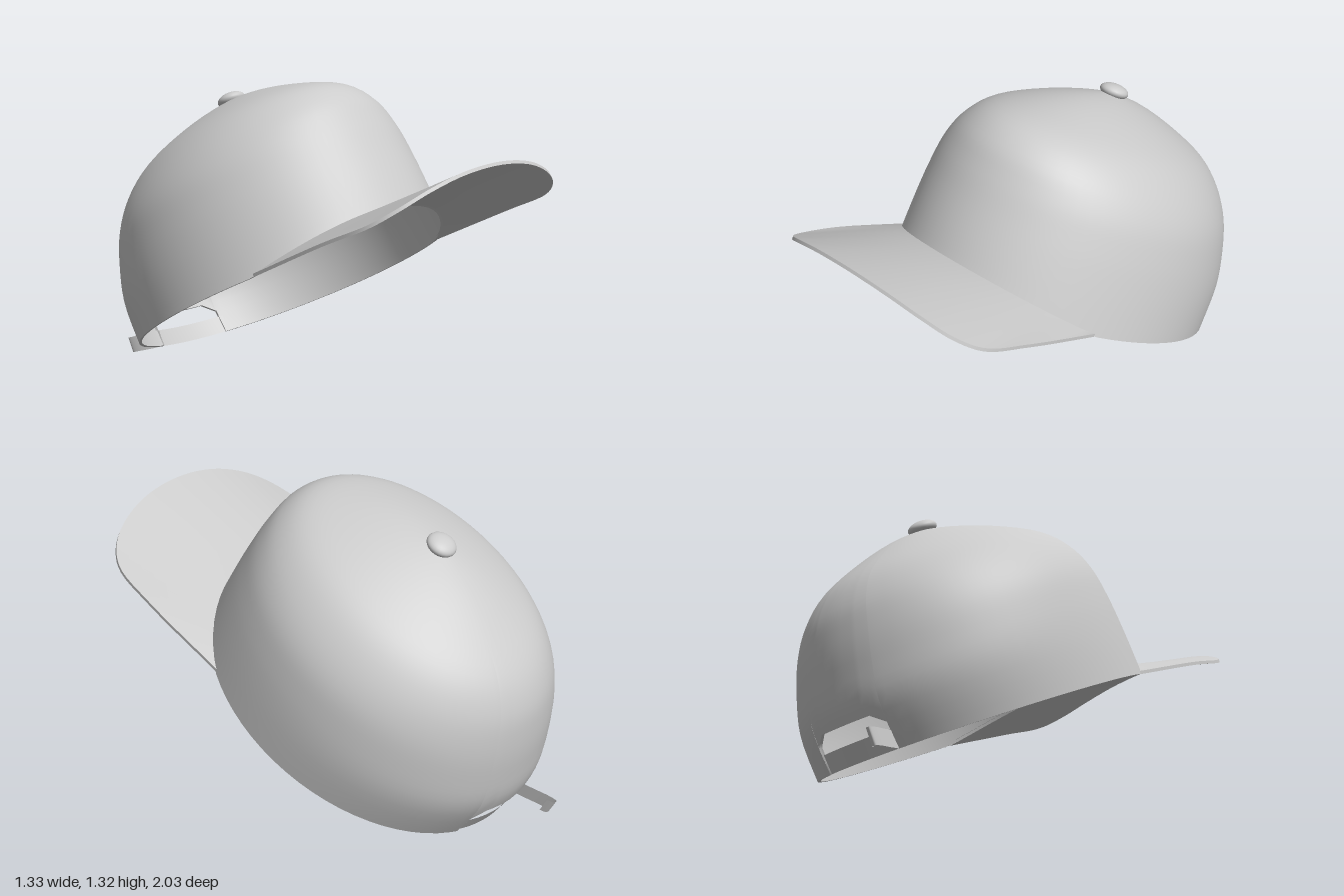
import * as THREE from 'three';
import { mergeVertices, toCreasedNormals } from 'three/addons/utils/BufferGeometryUtils.js';

const grey = new THREE.MeshStandardMaterial({ color: 0xcccccc, side: THREE.DoubleSide });

// Surface through a grid of points: us run to the right, vs run up, seen from the front.
function surface(us, vs, point) {
  const positions = [], index = [], n = us.length;
  for (const v of vs) for (const u of us) positions.push(...point(u, v));
  for (let j = 0; j < vs.length - 1; j++) {
    for (let i = 0; i < n - 1; i++) {
      const a = j * n + i, b = a + 1, c = b + n, d = a + n;
      index.push(a, b, c, a, c, d);
    }
  }
  let g = new THREE.BufferGeometry();
  g.setAttribute('position', new THREE.Float32BufferAttribute(positions, 3));
  g.setIndex(index);
  g = mergeVertices(g);
  g.computeVertexNormals();
  return g;
}

const steps = (n, from = 0, to = 1) =>
  Array.from({ length: n + 1 }, (_, i) => from + (to - from) * i / n);

function part(name, geometry) {
  const mesh = new THREE.Mesh(geometry, grey);
  mesh.name = name;
  return mesh;
}

// Crown profile: height, front reach, back reach, half width
const profile = [
  [0, 0.84, -0.72, 0.665], [0.2, 0.83, -0.74, 0.655], [0.36, 0.815, -0.7, 0.635],
  [0.5, 0.797, -0.645, 0.6], [0.62, 0.765, -0.575, 0.53], [0.72, 0.68, -0.465, 0.43],
  [0.8, 0.5, -0.29, 0.285], [0.86, 0.3, -0.1, 0.13], [0.893, 0.1, 0.1, 0],
];
const reach = new THREE.SplineCurve(profile.map(p => new THREE.Vector2(p[1], p[2])));
const rise = new THREE.SplineCurve(profile.map(p => new THREE.Vector2(p[3], p[0])));

// Profile parameter at a given height
function levelAt(h) {
  let lo = 0, hi = 1;
  for (let k = 0; k < 24; k++) {
    const mid = (lo + hi) / 2;
    if (rise.getPoint(mid).y < h) lo = mid; else hi = mid;
  }
  return lo;
}

// Point on the crown at an angle (0 = front) and a profile level
function crownPoint(angle, level, inset = 1) {
  const r = reach.getPoint(level), w = rise.getPoint(level);
  const mid = (r.x + r.y) / 2, half = (r.x - r.y) / 2;
  return [w.x * inset * Math.sin(angle), w.y, mid + half * inset * Math.cos(angle)];
}

// Height of the lower edge: arched over the brim, cut out at the back
const TIP = 1.015, CUT = 0.297;
function rimHeight(angle) {
  const front = Math.min(angle, 2 * Math.PI - angle) / TIP;
  const back = Math.abs(angle - Math.PI);
  if (front < 1) return 0.01 + 0.09 * Math.pow(1 - front * front, 1.2);
  if (back <= CUT + 1e-6) return 0.12 + 0.045 * Math.min(1, (CUT - back) / 0.09);
  return 0.01;
}

function rimPoint(angle, inset) {
  const a = (angle + 2 * Math.PI) % (2 * Math.PI);
  return crownPoint(a, levelAt(rimHeight(a)), inset);
}

// Brim with a thin edge, between the front rim and an outer outline
function brimGeometry() {
  const half = [
    [0, 0.058, 1.388], [0.2, 0.046, 1.368], [0.36, 0.016, 1.315], [0.47, -0.015, 1.24],
    [0.54, -0.032, 1.13], [0.568, -0.015, 0.9], [0.566, 0.01, 0.466],
  ];
  const left = half.slice(1).reverse().map(([x, y, z]) => [-x, y, z]);
  const outline = new THREE.CatmullRomCurve3(
    [...left, ...half].map(p => new THREE.Vector3(...p)));
  const thick = 0.014, n = 8;
  // Underside from rim to edge, then the top back to the rim
  const across = [...steps(n).map(t => [t, 0]), ...steps(n, 1, 0).map(t => [t, thick])];
  const g = surface(steps(64, -1, 1), across, (u, [t, lift]) => {
    const inner = new THREE.Vector3(...rimPoint(u * TIP, 0.995));
    const p = inner.lerp(outline.getPoint((u + 1) / 2), t);
    return [p.x, p.y + lift, p.z];
  });
  return toCreasedNormals(g, 0.8);
}

export function createModel() {
  const model = new THREE.Group();
  const cap = new THREE.Group();
  cap.name = 'cap';
  model.add(cap);

  // Crown, with extra columns at the sides of the back opening
  const angles = [...steps(72, 0, 2 * Math.PI),
    ...[-CUT - 0.003, -CUT, -CUT + 0.09, CUT - 0.09, CUT, CUT + 0.003].map(d => Math.PI + d)]
    .sort((a, b) => a - b);
  const starts = new Map(angles.map(a => [a, levelAt(rimHeight(a % (2 * Math.PI)))]));
  cap.add(part('crown', surface(angles, steps(32), (a, v) => {
    const s = starts.get(a);
    return crownPoint(a, s + (1 - s) * v);
  })));
  cap.add(part('rimEdge', surface(angles, [0.982, 1], (a, inset) => rimPoint(a, inset))));

  cap.add(part('brim', brimGeometry()));

  // Button on top
  const button = part('button', new THREE.SphereGeometry(0.064, 24, 16));
  button.scale.y = 0.5;
  button.position.set(0, 0.9, 0.1);
  cap.add(button);

  // Strap across the back opening
  cap.add(part('backStrap', surface(
    steps(16, Math.PI - 0.33, Math.PI + 0.33), [0.01, 0.09],
    (a, h) => crownPoint(a, levelAt(h), 0.99))));

  // Loose strap end
  const tail = new THREE.CatmullRomCurve3([
    [-0.19, 0, -0.68], [-0.215, 0.012, -0.75], [-0.238, 0.026, -0.82],
    [-0.24, 0.032, -0.852], [-0.222, 0.032, -0.85], [-0.205, 0.03, -0.825],
  ].map(p => new THREE.Vector3(...p)));
  cap.add(part('strapEnd', surface(steps(20), [0.01, 0.083], (t, h) => {
    const p = tail.getPoint(t);
    return [p.x, p.y + h, p.z];
  })));

  // The cap leans back and turns slightly
  cap.rotation.set(-0.488, -0.09, 0, 'YXZ');
  cap.position.set(0, 0.369, -0.2);
  return model;
}
